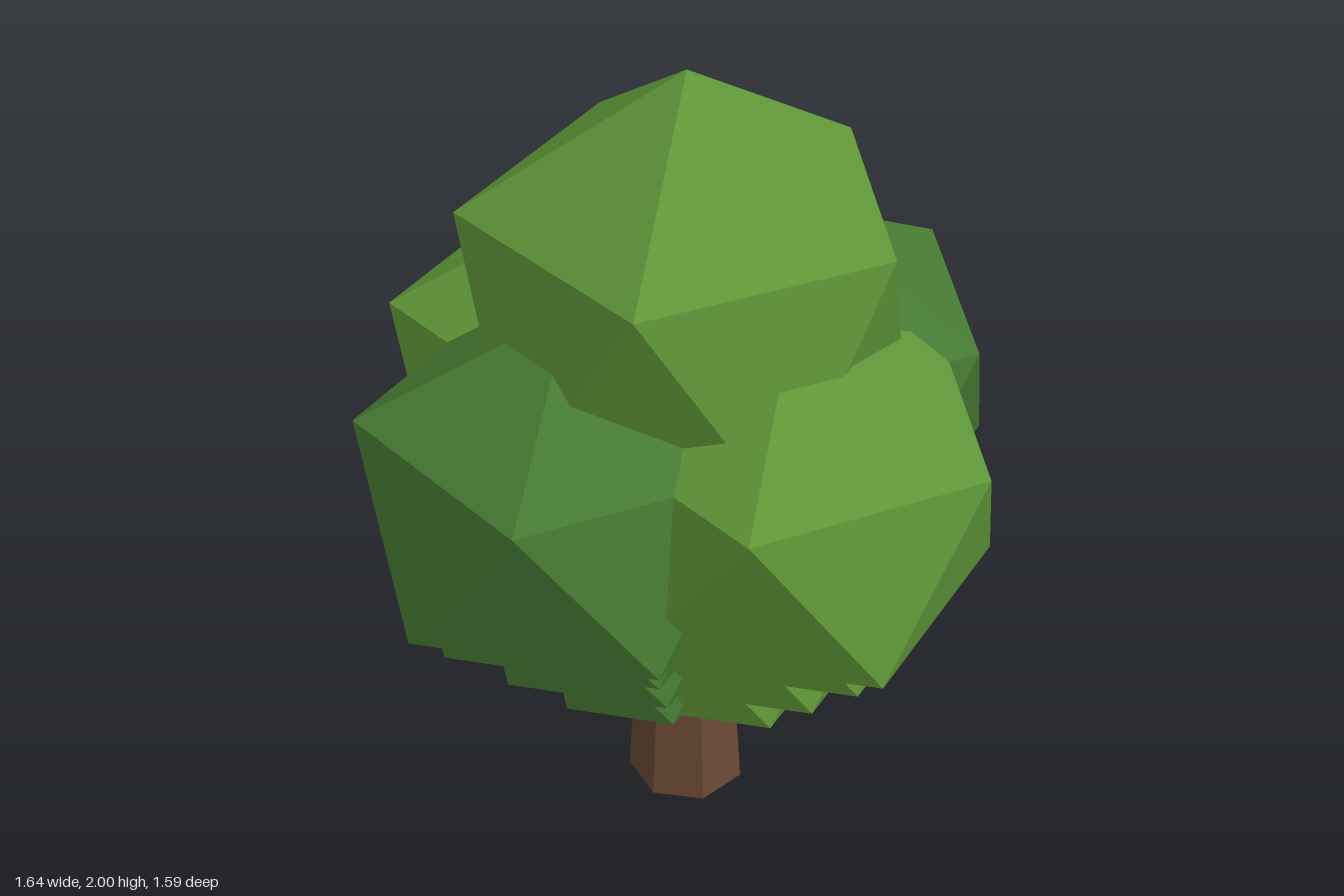
import * as THREE from 'three';

export function createModel() {
  const tree = new THREE.Group();
  tree.name = 'tree';

  const makeMaterial = (name, color) => {
    const material = new THREE.MeshStandardMaterial({ color, flatShading: true });
    material.name = name;
    return material;
  };
  const leaf = makeMaterial('leaf green', 0x5f9638);
  const darkLeaf = makeMaterial('dark leaf green', 0x467a32);
  const bark = makeMaterial('bark brown', 0x6b4a35);

  // Unit icosahedron standing on a corner, upper ring corner towards +x
  const clumpGeometry = new THREE.IcosahedronGeometry(1, 0);
  clumpGeometry.rotateX(-Math.atan2((1 + Math.sqrt(5)) / 2, 1));
  clumpGeometry.rotateY(Math.PI / 2);

  const RING = 2 / Math.sqrt(5); // ring radius of the unit icosahedron
  const addClump = (parent, name, material, x, y, z, ringRadius, squash) => {
    const mesh = new THREE.Mesh(clumpGeometry, material);
    const r = ringRadius / RING;
    mesh.name = name;
    mesh.position.set(x, y, z);
    mesh.scale.set(r, r * squash, r);
    parent.add(mesh);
  };

  // Trunk: tapered, seven sides, one corner at the back
  const trunkGeometry = new THREE.CylinderGeometry(0.098, 0.151, 0.8, 7);
  trunkGeometry.rotateY(Math.PI);
  const trunk = new THREE.Mesh(trunkGeometry, bark);
  trunk.name = 'trunk';
  trunk.position.y = 0.4;
  tree.add(trunk);

  // Foliage tiers, four squashed clumps each: height, offset from trunk, ring radius
  const tiers = [
    [0.519, 0.165, 0.225],
    [0.743, 0.236, 0.324],
    [0.969, 0.31, 0.42],
    [1.089, 0.34, 0.48],
  ];
  tiers.forEach(([y, offset, radius], i) => {
    const tier = new THREE.Group();
    tier.name = `foliageTier${i + 1}`;
    addClump(tier, 'leftClump', darkLeaf, offset, y, 0, radius, 0.85);
    addClump(tier, 'rightClump', darkLeaf, -offset, y, 0, radius, 0.85);
    addClump(tier, 'frontClump', leaf, 0, y, offset, radius, 0.85);
    addClump(tier, 'backClump', leaf, 0, y, -offset, radius, 0.85);
    tree.add(tier);
  });

  // Crown
  addClump(tree, 'crown', leaf, 0, 1.432, 0, 0.508, 1);

  return tree;
}
